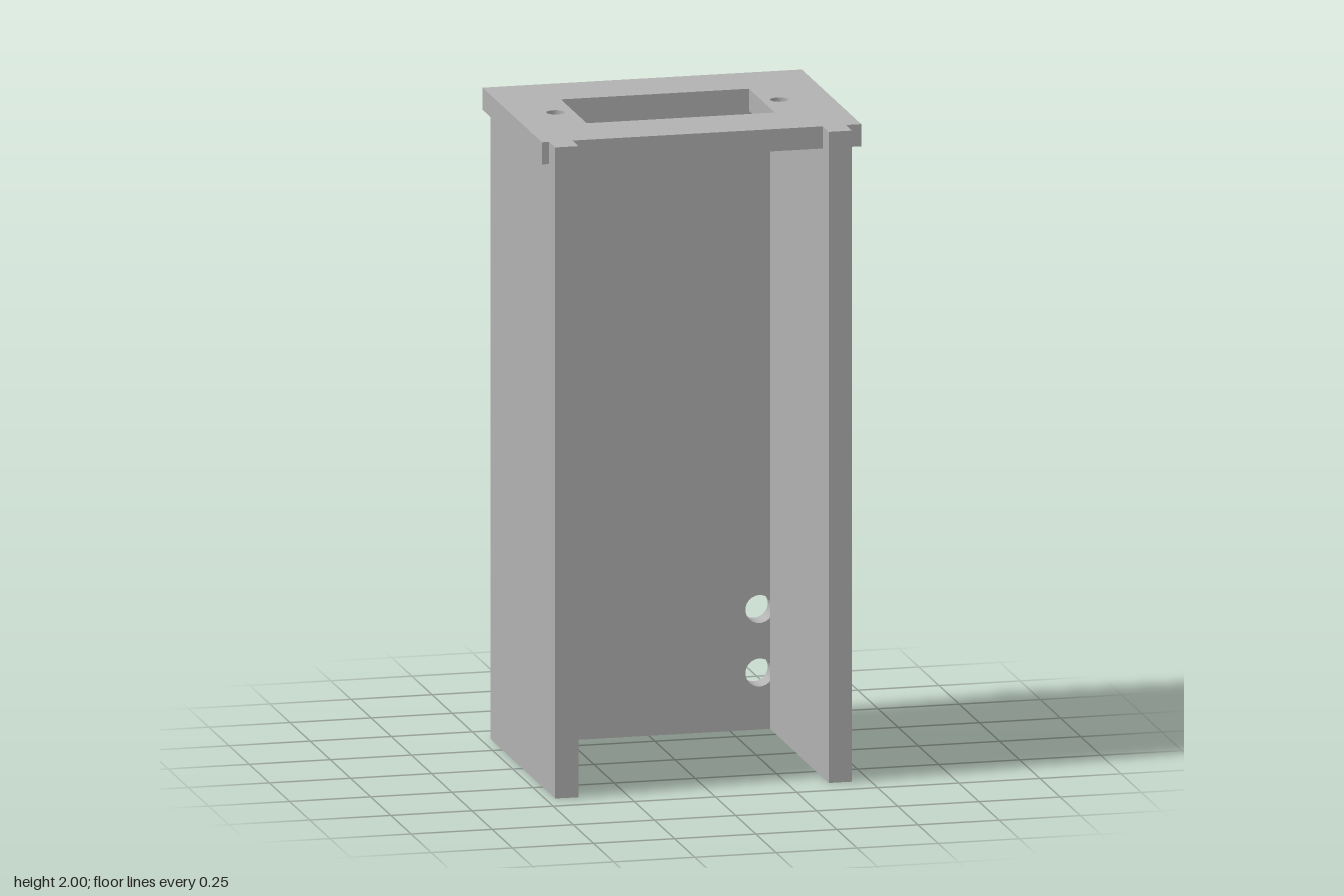
import * as THREE from 'three';

const LEFT = 0.445, RIGHT = -0.47;      // outer faces of the side walls
const WALL = 0.072;                     // wall thickness
const BACK = -0.395, FRONT = 0.405;
const TOP = 2, LID_BOTTOM = 1.932, LID_FRONT = 0.33;

function polygon(points, PathType = THREE.Shape) {
  return new PathType(points.map(([x, y]) => new THREE.Vector2(x, y)));
}

function rectangle(x0, y0, x1, y1, PathType) {
  return polygon([[x0, y0], [x1, y0], [x1, y1], [x0, y1]], PathType);
}

function roundHole(x, y, r) {
  return new THREE.Path().absarc(x, y, r, 0, Math.PI * 2, true);
}

function extrude(shape, depth) {
  return new THREE.ExtrudeGeometry(shape, { depth, bevelEnabled: false, curveSegments: 32 });
}

export function createModel() {
  const group = new THREE.Group();
  const grey = new THREE.MeshStandardMaterial({ color: 0xb2b2b2 });
  grey.name = 'grey';

  function add(name, geometry) {
    const mesh = new THREE.Mesh(geometry, grey);
    mesh.name = name;
    group.add(mesh);
  }

  // Back wall with four screw holes near the foot
  const back = rectangle(RIGHT, 0, LEFT, LID_BOTTOM);
  for (const x of [-0.37, 0.34]) {
    for (const y of [0.175, 0.37]) back.holes.push(roundHole(x, y, 0.043));
  }
  add('backWall', extrude(back, WALL).translate(0, 0, BACK));

  // Side walls, whose front edges rise past the lid as small posts
  const side = polygon([
    [BACK + WALL, 0], [FRONT, 0], [FRONT, TOP],
    [LID_FRONT, TOP], [LID_FRONT, LID_BOTTOM], [BACK + WALL, LID_BOTTOM],
  ]);
  for (const [name, outerX] of [['leftWall', LEFT], ['rightWall', RIGHT + WALL]]) {
    add(name, extrude(side, WALL).rotateY(-Math.PI / 2).translate(outerX, 0, 0));
  }

  // Lid with a rectangular opening and two screw holes (shape y is -z)
  const lid = rectangle(-0.492, -LID_FRONT, 0.492, 0.406);
  lid.holes.push(rectangle(-0.302, -0.12, 0.277, 0.2, THREE.Path));
  for (const x of [-0.358, 0.331]) lid.holes.push(roundHole(x, 0.04, 0.028));
  add('lid', extrude(lid, TOP - LID_BOTTOM).rotateX(-Math.PI / 2).translate(0, LID_BOTTOM, 0));

  return group;
}
